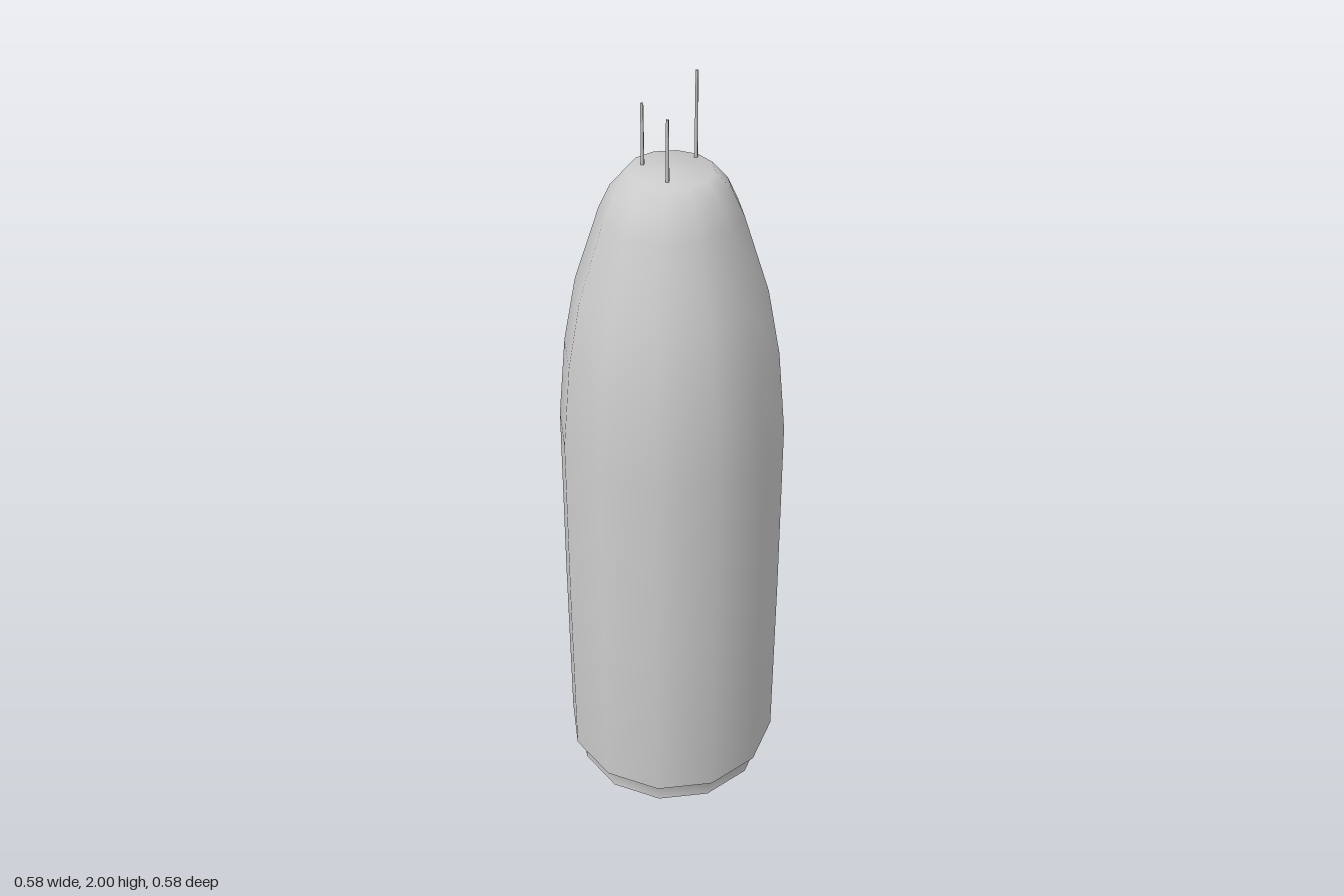
import * as THREE from 'three';

export function createModel() {
  const model = new THREE.Group();
  const grey = new THREE.MeshStandardMaterial({ color: 0xcccccc });
  const shellGrey = new THREE.MeshStandardMaterial({ color: 0xcccccc, side: THREE.DoubleSide });

  // Twelve-sided shell, open at the bottom: [radius, height] from base to tip
  const profile = [
    [0.264, 0], [0.264, 0.05], [0.29, 0.07], [0.288, 0.6], [0.283, 1.11],
    [0.262, 1.33], [0.23, 1.5], [0.168, 1.69], [0.14, 1.75], [0.1, 1.795], [0, 1.797],
  ].map(([r, y]) => new THREE.Vector2(r, y));
  const shell = new THREE.Mesh(new THREE.LatheGeometry(profile, 12), shellGrey);
  shell.name = 'shell';
  model.add(shell);

  // Thin square pins on the tip: x, z, top height
  const base = 1.78;
  for (const [x, z, top] of [[0, 0.065, 1.94], [-0.067, -0.016, 1.94], [0.048, -0.07, 2]]) {
    const geometry = new THREE.CylinderGeometry(0.0042, 0.0055, top - base, 4);
    geometry.rotateY(Math.PI / 4);
    const pin = new THREE.Mesh(geometry, grey);
    pin.position.set(x, (top + base) / 2, z);
    pin.name = 'pin';
    model.add(pin);
  }
  return model;
}
